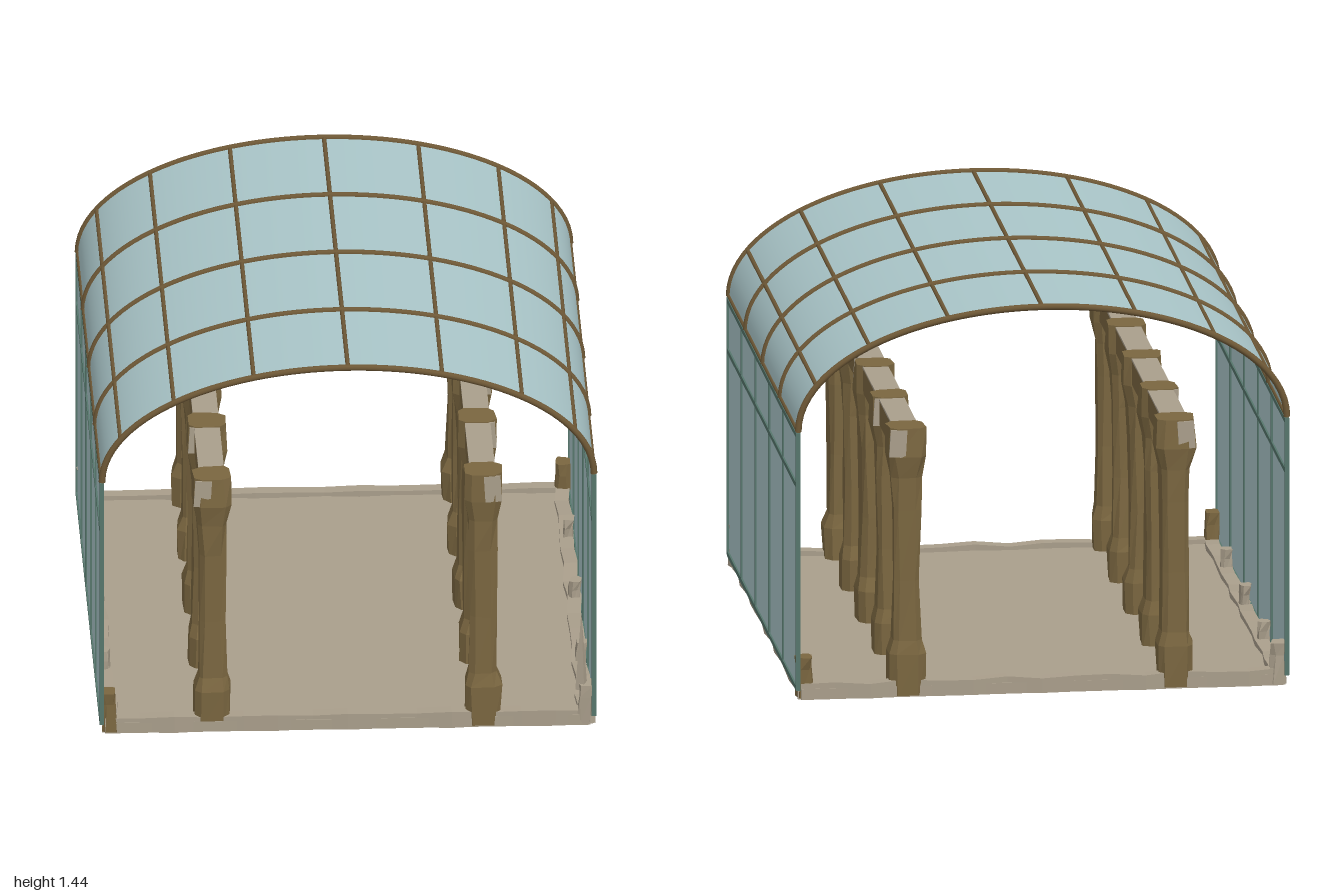
import * as THREE from 'three';

const mat = (name, color, extra = {}) => {
  const m = new THREE.MeshStandardMaterial({ color, ...extra });
  m.name = name;
  return m;
};

export function createModel() {
  const root = new THREE.Group();
  root.name = 'glassCanopy';
  const glass = mat('glass', 0xaac6c9, { side: THREE.DoubleSide });
  const green = mat('greenFrame', 0x56766c);
  const bronze = mat('bronzeFrame', 0x6e5836);
  const wood = mat('weatheredBrown', 0x7a6640, { flatShading: true });
  const stone = mat('paleStone', 0xa99e8b, { flatShading: true });

  let seed = 7;
  const rand = () => (seed = (seed * 16807) % 2147483647) / 2147483647 - 0.5;

  const add = (name, geo, m, x = 0, y = 0, z = 0, parent = root) => {
    const mesh = new THREE.Mesh(geo, m);
    mesh.name = name;
    mesh.position.set(x, y, z);
    parent.add(mesh);
    return mesh;
  };
  const box = (name, m, w, h, d, x, y, z, parent) =>
    add(name, new THREE.BoxGeometry(w, h, d), m, x, y, z, parent);

  // Chamfered-square solid lofted through rows of [y, halfX, halfZ, offsetX]
  const loft = (rows, jitter = 0) => {
    const pos = [], idx = [], n = 8;
    for (const [y, hx, hz, ox = 0] of rows) {
      const c = 0.62;
      for (const [u, v] of [[1, c], [c, 1], [-c, 1], [-1, c], [-1, -c], [-c, -1], [c, -1], [1, -c]])
        pos.push(ox + u * hx + rand() * jitter, y, v * hz + rand() * jitter);
    }
    for (let r = 0; r < rows.length - 1; r++)
      for (let i = 0; i < n; i++) {
        const a = r * n + i, b = r * n + (i + 1) % n;
        idx.push(a, a + n, b, b, a + n, b + n);
      }
    const top = (rows.length - 1) * n;
    for (let i = 1; i < n - 1; i++) idx.push(0, i, i + 1, top, top + i + 1, top + i);
    const g = new THREE.BufferGeometry();
    g.setAttribute('position', new THREE.Float32BufferAttribute(pos, 3));
    g.setIndex(idx);
    g.computeVertexNormals();
    return g;
  };

  // Curved roof: half-ellipse glass, arched ribs and long purlins
  const A = 0.882, B = 0.433, Y0 = 0.995, L = 0.986;
  const arcPoint = (t, z = 0) => new THREE.Vector3(A * Math.cos(t), Y0 + B * Math.sin(t), z);
  const roof = new THREE.Group();
  roof.name = 'roof';
  root.add(roof);
  const sheet = new THREE.PlaneGeometry(1, 1, 48, 1);
  const p = sheet.attributes.position;
  for (let i = 0; i < p.count; i++) {
    const v = arcPoint((0.5 - p.getX(i)) * Math.PI);
    p.setXYZ(i, v.x, v.y, -p.getY(i) * 2 * L);
  }
  sheet.computeVertexNormals();
  add('roofGlass', sheet, glass, 0, 0, 0, roof);

  const arcPts = [];
  for (let i = 0; i <= 32; i++) arcPts.push(arcPoint((i / 32) * Math.PI));
  const ribGeo = new THREE.TubeGeometry(new THREE.CatmullRomCurve3(arcPts), 64, 0.012, 8);
  for (let i = -2; i <= 2; i++) add('roofRib', ribGeo, bronze, 0, 0, i * 0.494, roof);
  for (let i = 0; i <= 8; i++) {
    const v = arcPoint((i / 8) * Math.PI);
    const bar = add('purlin', new THREE.CylinderGeometry(0.008, 0.008, 2 * L, 8), bronze, v.x, v.y, 0, roof);
    bar.rotation.x = Math.PI / 2;
  }

  // Side walls: glass sheet with green mullions and rails
  for (const s of [-1, 1]) {
    const wall = new THREE.Group();
    wall.name = s > 0 ? 'leftWall' : 'rightWall';
    root.add(wall);
    box('wallGlass', glass, 0.004, 0.95, 2 * L, s * 0.882, 0.515, 0, wall);
    for (let i = 0; i < 6; i++)
      box('mullion', green, 0.016, 0.95, 0.016, s * 0.882, 0.515, -L + i * L * 0.4, wall);
    for (const y of [0.045, 0.795, 0.98])
      box('wallRail', green, 0.016, 0.018, 2 * L, s * 0.882, y, 0, wall);
  }

  // Floor slab with a worn raised sill around it
  const floor = new THREE.Group();
  floor.name = 'floor';
  root.add(floor);
  box('floorSlab', stone, 1.74, 0.04, 1.96, 0, 0.02, 0, floor);
  const sill = (len, along) => {
    const g = new THREE.BoxGeometry(len, 0.058, 0.05, 14, 1, 1);
    const q = g.attributes.position;
    for (let i = 0; i < q.count; i++) {
      const k = Math.sin(q.getX(i) * 19 + along);
      q.setZ(i, q.getZ(i) + k * 0.006);
      if (q.getY(i) > 0) q.setY(i, q.getY(i) + k * 0.005);
    }
    return g;
  };
  for (const s of [-1, 1]) {
    add('endSill', sill(1.74, s), stone, 0, 0.029, s * 0.955, floor);
    const side = add('sideSill', sill(1.94, s * 2), stone, s * 0.85, 0.029, 0, floor);
    side.rotation.y = Math.PI / 2;
  }

  // Two rows of weathered columns carrying long beams
  const columnRows = [
    [0, 0.062, 0.062], [0.15, 0.065, 0.065], [0.2, 0.05, 0.052], [0.42, 0.047, 0.048],
    [0.68, 0.05, 0.05], [0.8, 0.054, 0.054], [0.88, 0.07, 0.064], [0.985, 0.066, 0.06]];
  for (const s of [-1, 1]) {
    const row = new THREE.Group();
    row.name = s > 0 ? 'leftColonnade' : 'rightColonnade';
    root.add(row);
    for (let i = -2; i <= 2; i++) {
      const z = i * 0.46;
      add('column', loft(columnRows, 0.01), wood, s * 0.485, 0.005, z, row);
      // Pale worn patch on the outer corner of the capital
      const chip = box('capitalChip', stone, 0.06, 0.1, 0.008, s * 0.52, 0.936, z + Math.sign(i || 1) * 0.06, row);
      chip.rotation.z = s * 0.06;
    }
    box('beam', wood, 0.09, 0.09, 1.86, s * 0.485, 0.935, 0, row);
    box('beamTop', stone, 0.092, 0.008, 1.86, s * 0.485, 0.983, 0, row);
  }

  // Broken post stumps along the walls
  for (const s of [-1, 1])
    for (const z of [-0.95, -0.53, 0, 0.53, 0.95]) {
      const corner = Math.abs(z) > 0.9;
      const h = corner ? 0.15 : 0.12, w = corner ? 0.03 : 0.022;
      const brown = corner && s * z < 0;
      add('brokenPost', loft([[0, w, w], [h * 0.7, w * 0.8, w], [h, w * 0.9, w * 1.1, s * 0.004]], 0.012),
        brown ? wood : stone, s * 0.853, 0.005, z, root);
    }
  // Tall splinter left standing on one corner post
  const splinter = add('splinter', new THREE.ConeGeometry(0.024, 0.3, 4), stone, 0.838, 0.28, 0.95);
  splinter.rotation.y = 0.4;

  return root;
}
